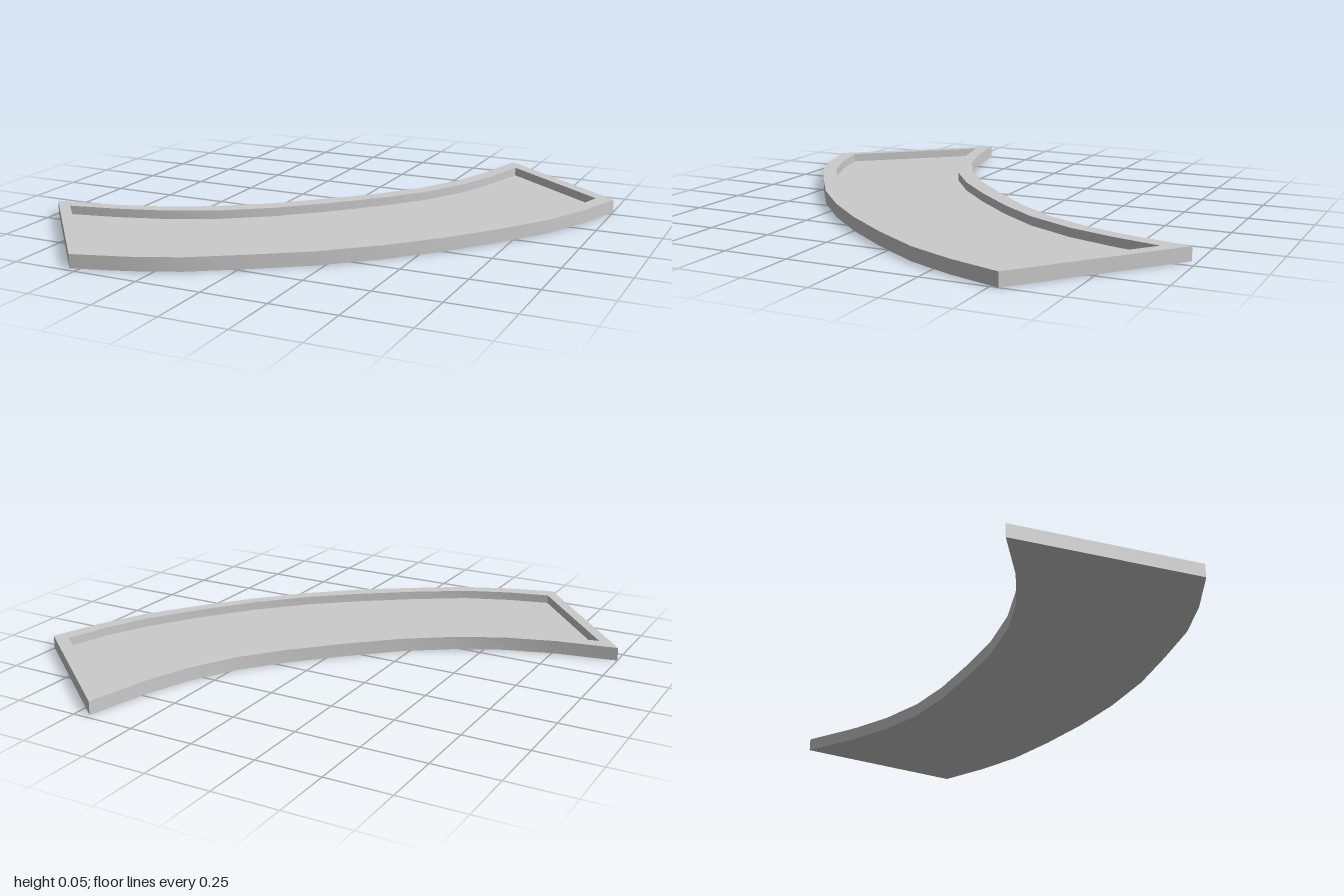
import * as THREE from 'three';
import { toCreasedNormals } from 'three/addons/utils/BufferGeometryUtils.js';

const HEIGHT = 0.052, FLOOR = 0.018;

// Outlines in plan as [x, z], counter-clockwise: convex side front to back, then concave side back to left
const OUTER = [
  [-0.535, 0.98], [-0.335, 0.92], [-0.16, 0.845], [0.03, 0.722], [0.22, 0.59], [0.405, 0.425],
  [0.565, 0.25], [0.715, 0.055], [0.845, -0.14], [0.93, -0.325], [1, -0.53],
  [0.445, -0.98], [0.39, -0.732], [0.33, -0.556], [0.235, -0.375], [0.11, -0.215],
  [-0.05, -0.05], [-0.215, 0.106], [-0.395, 0.235], [-0.57, 0.324], [-0.765, 0.385], [-1, 0.428],
];
const INNER = [
  [-0.535, 0.914], [-0.37, 0.87], [-0.195, 0.8], [0, 0.675], [0.185, 0.54], [0.365, 0.39],
  [0.525, 0.22], [0.675, 0.02], [0.8, -0.176], [0.88, -0.355], [0.93, -0.522],
  [0.485, -0.882], [0.44, -0.7], [0.38, -0.52], [0.28, -0.33], [0.15, -0.165],
  [-0.005, 0], [-0.17, 0.154], [-0.345, 0.28], [-0.53, 0.37], [-0.725, 0.43], [-0.91, 0.47],
];

const toPoints = (outline) => outline.map(([x, z]) => new THREE.Vector2(x, -z));

// Extrude a plan shape upward from the ground
function slab(name, shape, depth, material) {
  const geometry = new THREE.ExtrudeGeometry(shape, { depth, bevelEnabled: false });
  geometry.rotateX(-Math.PI / 2);
  const mesh = new THREE.Mesh(toCreasedNormals(geometry, 0.6), material);
  mesh.name = name;
  return mesh;
}

export function createModel() {
  const group = new THREE.Group();
  group.name = 'curvedTray';
  const material = new THREE.MeshStandardMaterial({ color: 0xcccccc });

  // Raised border around the tray
  const rim = new THREE.Shape(toPoints(OUTER));
  rim.holes.push(new THREE.Path(toPoints(INNER)));
  group.add(slab('rim', rim, HEIGHT, material));

  // Recessed floor inside the border
  group.add(slab('floor', new THREE.Shape(toPoints(INNER)), FLOOR, material));

  return group;
}
